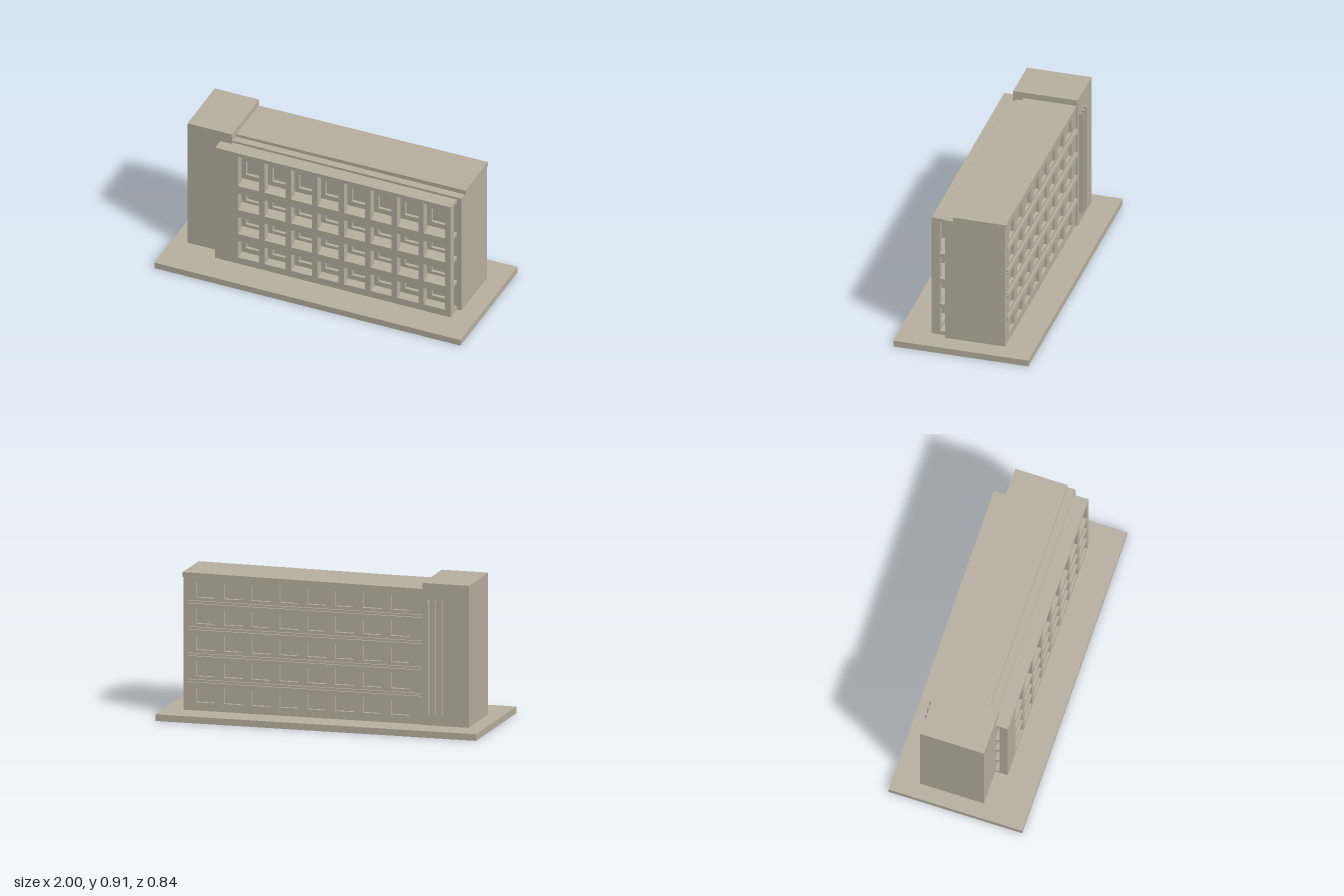
import * as THREE from 'three';

const concrete = new THREE.MeshStandardMaterial({ color: 0xb8b0a0 });
concrete.name = 'concrete';

// Box given by its minimum and maximum on each axis
function block(name, x0, x1, y0, y1, z0, z1) {
  const mesh = new THREE.Mesh(new THREE.BoxGeometry(x1 - x0, y1 - y0, z1 - z0), concrete);
  mesh.position.set((x0 + x1) / 2, (y0 + y1) / 2, (z0 + z1) / 2);
  mesh.name = name;
  return mesh;
}

function rectangle(path, x0, x1, y0, y1) {
  path.moveTo(x0, y0);
  path.lineTo(x1, y0);
  path.lineTo(x1, y1);
  path.lineTo(x0, y1);
  path.closePath();
  return path;
}

// Wall with a grid of openings: columns are [x0, x1], rows are [y0, y1]
function piercedWall(name, x0, x1, y0, y1, z0, z1, columns, rows) {
  const shape = rectangle(new THREE.Shape(), x0, x1, y0, y1);
  for (const [a, b] of columns)
    for (const [c, d] of rows) shape.holes.push(rectangle(new THREE.Path(), a, b, c, d));
  const geometry = new THREE.ExtrudeGeometry(shape, { depth: z1 - z0, bevelEnabled: false });
  const mesh = new THREE.Mesh(geometry, concrete);
  mesh.position.z = z0;
  mesh.name = name;
  return mesh;
}

export function createModel() {
  const model = new THREE.Group();
  model.name = 'officeBlock';

  // Ground slab and stair tower
  model.add(block('groundSlab', -1, 1, 0, 0.04, -0.42, 0.42));
  model.add(block('stairTower', -0.905, -0.615, 0.04, 0.907, -0.253, 0.148));

  // Column positions shared by screen openings and windows
  const pitch = 0.1736;
  const openings = [], windows = [];
  for (let i = 0; i < 8; i++) {
    const x = -0.472 + i * pitch;
    openings.push([x - 0.069, x + 0.069]);
    windows.push([x - 0.058, x + 0.058]);
  }

  // Main block: core with window walls front and back
  const left = -0.615, right = 0.88, recess = 0.02;
  const frontRows = [[0.096, 0.189], [0.27, 0.365], [0.443, 0.537], [0.63, 0.727]];
  const backRows = [0, 1, 2, 3, 4].map((i) => [0.09 + i * 0.16, 0.182 + i * 0.16]);
  model.add(block('mainCore', left, right, 0.04, 0.852, -0.24 + recess, 0.133 - recess));
  model.add(piercedWall('frontWindowWall', left, right, 0.04, 0.852, 0.133 - recess, 0.133, windows, frontRows));
  model.add(piercedWall('backWindowWall', left, right, 0.04, 0.852, -0.24, -0.24 + recess, windows, backRows));

  // Slightly sloping roof slab
  const roof = block('roofSlab', left, 0.883, 0.845, 0.875, -0.246, 0.084);
  roof.geometry.translate(0, 0, 0);
  const position = roof.geometry.attributes.position;
  for (let i = 0; i < position.count; i++)
    position.setY(i, position.getY(i) + position.getX(i) * 0.008);
  roof.geometry.computeVertexNormals();
  model.add(roof);

  // Free-standing front screen with balcony slabs tying it back
  const screenRows = [[0.085, 0.205], [0.255, 0.378], [0.43, 0.55], [0.603, 0.817]];
  model.add(piercedWall('frontScreen', -0.69, 0.85, 0.04, 0.84, 0.175, 0.226, openings, screenRows));
  for (const [y0, y1] of [[0.04, 0.064], [0.228, 0.25], [0.402, 0.425], [0.575, 0.598], [0.816, 0.838]])
    model.add(block('balconySlab', -0.69, 0.85, y0, y1, 0.13, 0.175));

  // Paired ledges between the rear window rows
  for (let i = 0; i < 4; i++) {
    const y = 0.202 + i * 0.16;
    model.add(block('lowerLedge', left, 0.85, y, y + 0.012, -0.253, -0.24));
    model.add(block('upperLedge', left, 0.85, y + 0.018, y + 0.029, -0.253, -0.24));
  }

  // Vertical fins on the back of the tower
  for (let i = 0; i < 3; i++) {
    const x = -0.738 + i * 0.043;
    model.add(block('towerFin', x - 0.006, x + 0.006, 0.11, 0.802, -0.277, -0.253));
  }
  return model;
}
